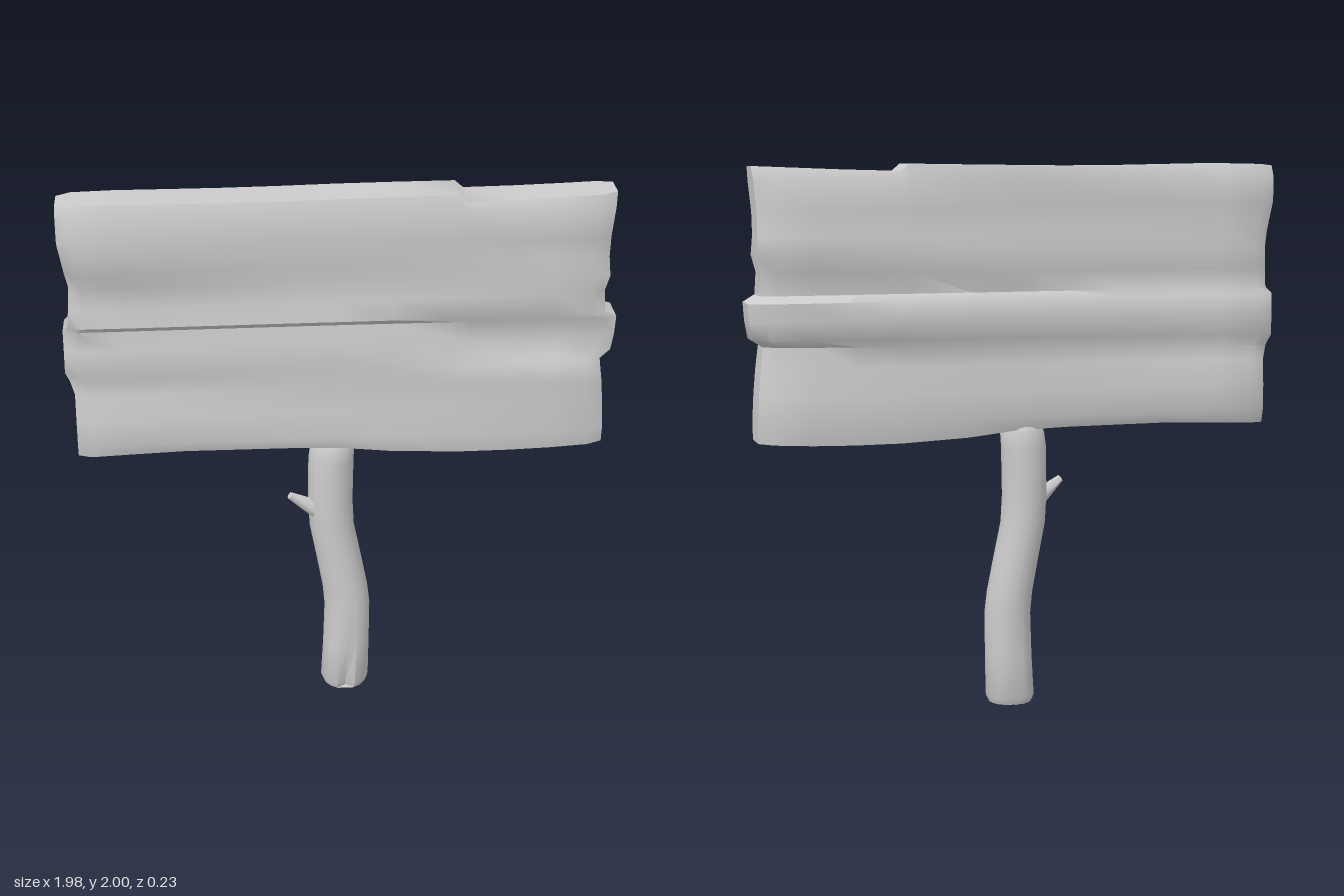
import * as THREE from 'three';
import { toCreasedNormals } from 'three/addons/utils/BufferGeometryUtils.js';

const material = new THREE.MeshStandardMaterial({ color: 0xcccccc });

// Skin a list of equal-length closed rings, with strip caps at both ends.
function loft(rings, crease) {
  const n = rings[0].length;
  const index = [];
  const quad = (a, b, c, d) => index.push(a, b, c, a, c, d);
  for (let i = 0; i < rings.length - 1; i++) {
    for (let k = 0; k < n; k++) {
      const a = i * n + k, b = i * n + (k + 1) % n;
      quad(a, b, b + n, a + n);
    }
  }
  const last = (rings.length - 1) * n;
  for (let k = 0; k < n / 2 - 1; k++) {
    const p = n - 1 - k;
    quad(p, p - 1, k + 1, k);
    quad(last + k, last + k + 1, last + p - 1, last + p);
  }
  const geometry = new THREE.BufferGeometry();
  geometry.setAttribute('position', new THREE.Float32BufferAttribute(rings.flat(2), 3));
  geometry.setIndex(index);
  return toCreasedNormals(geometry, crease);
}

function add(group, name, geometry) {
  const mesh = new THREE.Mesh(geometry, material);
  mesh.name = name;
  group.add(mesh);
  return mesh;
}

const lerp = THREE.MathUtils.lerp;

// Smooth blend through left, middle and right values.
function blend(l, m, r, u) {
  return u < 0.5
    ? lerp(l, m, THREE.MathUtils.smoothstep(u, 0, 0.5))
    : lerp(m, r, THREE.MathUtils.smoothstep(u, 0.5, 1));
}

// Piecewise linear lookup in [x, value] pairs.
function lookup(pairs, x) {
  let i = 0;
  while (i < pairs.length - 2 && x > pairs[i + 1][0]) i++;
  const [x0, v0] = pairs[i], [x1, v1] = pairs[i + 1];
  return lerp(v0, v1, THREE.MathUtils.clamp((x - x0) / (x1 - x0), 0, 1));
}

// Worn plank rows: y left/right, end x left/right, front z l/m/r, back z l/m/r
const rows = [
  [2.00, 1.99, -0.99, 0.96, 0.09, 0.07, 0.08, -0.06, -0.09, -0.06],
  [1.95, 1.94, -0.99, 0.955, 0.11, 0.085, 0.10, -0.09, -0.10, -0.09],
  [1.86, 1.83, -0.99, 0.945, 0.115, 0.09, 0.09, -0.09, -0.09, -0.09],
  [1.75, 1.75, -0.97, 0.945, 0.115, 0.08, 0.075, -0.08, -0.09, -0.10],
  [1.69, 1.68, -0.96, 0.95, 0.08, 0.07, 0.09, -0.09, -0.10, -0.11],
  [1.61, 1.62, -0.965, 0.935, 0.08, 0.075, 0.075, -0.08, -0.09, -0.08],
  [1.54, 1.54, -0.97, 0.94, 0.09, 0.085, 0.08, -0.07, -0.075, -0.075],
  [1.515, 1.515, -0.99, 0.985, 0.06, 0.055, 0.06, -0.09, -0.10, -0.115],
  [1.44, 1.45, -0.99, 0.98, 0.065, 0.065, 0.065, -0.095, -0.10, -0.115],
  [1.36, 1.385, -0.99, 0.97, 0.08, 0.07, 0.06, -0.09, -0.09, -0.11],
  [1.32, 1.36, -0.975, 0.93, 0.06, 0.065, 0.085, -0.07, -0.07, -0.08],
  [1.27, 1.28, -0.96, 0.94, 0.07, 0.07, 0.09, -0.09, -0.08, -0.09],
  [1.17, 1.19, -0.96, 0.95, 0.085, 0.06, 0.075, -0.10, -0.08, -0.11],
  [1.08, 1.08, -0.96, 0.955, 0.09, 0.085, 0.085, -0.10, -0.09, -0.12],
  [1.03, 1.02, -0.96, 0.955, 0.075, 0.07, 0.07, -0.08, -0.07, -0.11],
];
const topEdge = [[-0.99, 1.99], [-0.9, 2], [-0.3, 1.99], [0.1, 1.995], [0.415, 2], [0.435, 1.972], [0.96, 1.993]];
const bottomEdge = [[-0.96, 1.028], [-0.6, 1.042], [-0.05, 1.038], [0.2, 1.012], [0.45, 1.003], [0.7, 1.005], [0.95, 1.02]];

function boardGeometry() {
  const stations = [0, 0.025, 0.1, 0.2, 0.3, 0.4, 0.5, 0.6, 0.715, 0.73, 0.82, 0.9, 0.972, 1];
  const rings = stations.map((u) => {
    const worn = u === 0 || u === 1 ? 0.7 : 1;
    const front = [], back = [];
    rows.forEach(([yl, yr, xl, xr, fl, fm, fr, bl, bm, br], j) => {
      const x = lerp(xl, xr, u);
      let y = lerp(yl, yr, u);
      if (j === 0) y = lookup(topEdge, x);
      if (j === rows.length - 1) y = lookup(bottomEdge, x);
      front.push([x, y, blend(fl, fm, fr, u) * worn]);
      back.unshift([x, y, blend(bl, bm, br, u) * worn]);
    });
    return [...front, ...back];
  });
  return loft(rings, 0.95);
}

// Crooked post: y, centre x, centre z, radius
const postPath = [
  [0, 0.01, 0.012, 0.08], [0.025, 0.01, 0.012, 0.091], [0.18, 0.016, 0.011, 0.088],
  [0.34, 0.02, 0.008, 0.086], [0.42, 0.012, 0.006, 0.085], [0.55, -0.012, 0.003, 0.084],
  [0.68, -0.037, 0, 0.083], [0.78, -0.042, -0.002, 0.083], [0.96, -0.039, -0.005, 0.084],
  [1.02, -0.033, -0.006, 0.082], [1.045, -0.032, -0.006, 0.07],
];

function postGeometry() {
  const sides = 16;
  const rings = postPath.map(([y, cx, cz, r]) => Array.from({ length: sides }, (_, k) => {
    const a = (k / sides) * Math.PI * 2;
    // A split runs up the front and a shallower one up the back.
    const split = Math.max(0, 1 - y / 0.3);
    const depth = k === 0 ? 1 - 0.4 * split : k === sides / 2 ? 1 - 0.15 * split : 1;
    return [cx + Math.sin(a) * r * depth, y, cz + Math.cos(a) * r * depth];
  }));
  return loft(rings, 1.1);
}

export function createModel() {
  const group = new THREE.Group();
  group.name = 'woodenSign';
  add(group, 'board', boardGeometry());
  add(group, 'post', postGeometry());

  // Broken twig on the side of the post
  const start = new THREE.Vector3(-0.09, 0.755, 0.02);
  const end = new THREE.Vector3(-0.195, 0.83, 0.045);
  const direction = end.clone().sub(start);
  const twig = add(group, 'twig', toCreasedNormals(
    new THREE.CylinderGeometry(0.014, 0.036, direction.length(), 7), 1.1));
  twig.position.copy(start).add(end).multiplyScalar(0.5);
  twig.quaternion.setFromUnitVectors(new THREE.Vector3(0, 1, 0), direction.normalize());
  return group;
}
